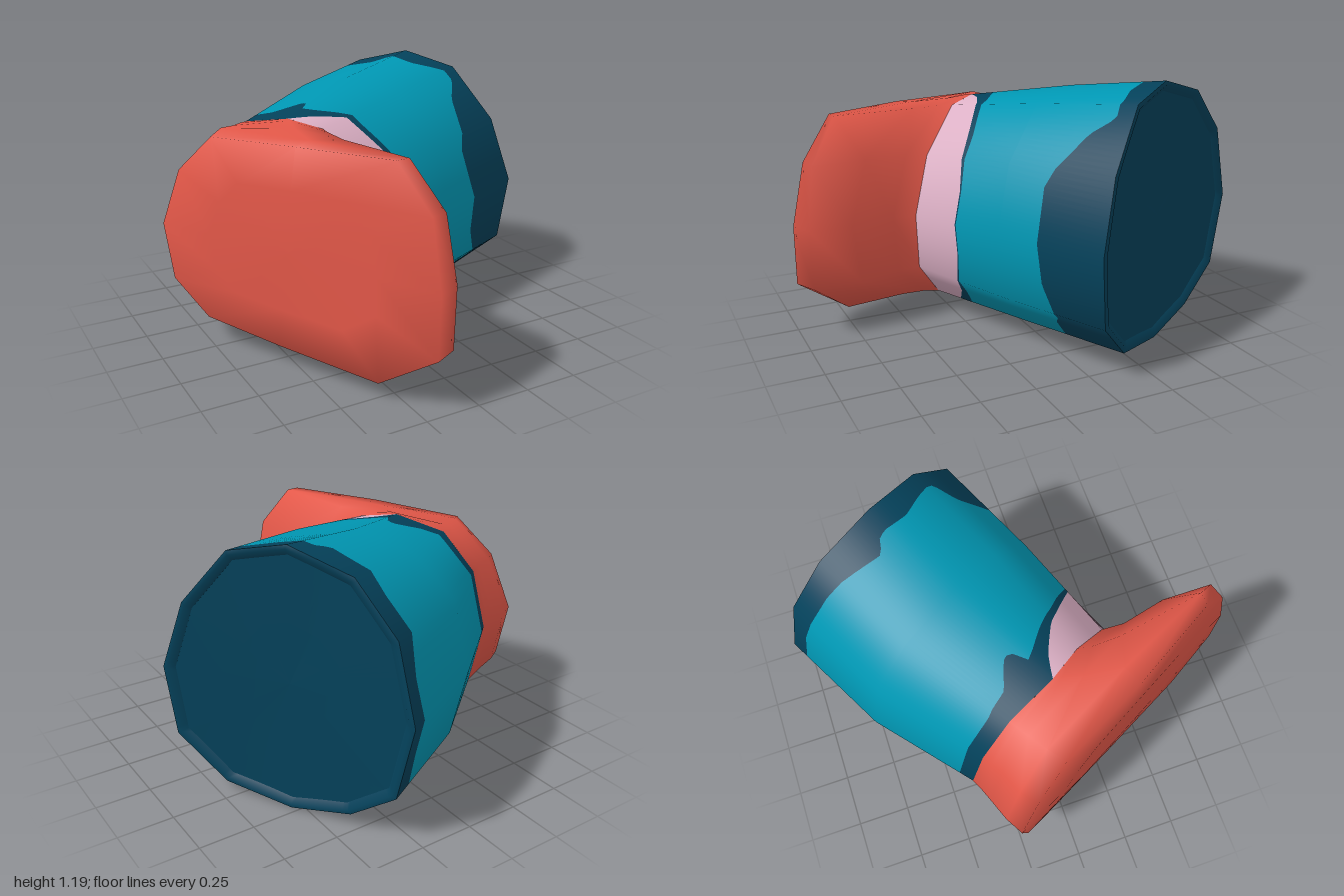
import * as THREE from 'three';

// Local frame: x runs along the barrel (front plate at -x, closed end at +x).
// Each outline is twelve [z, y] points: top, round by +z, bottom, back by -z.
const WAIST = [[-.15, 1.04], [.03, 1.01], [.24, .8], [.338, .53], [.32, .27], [.18, .1],
  [-.1, .068], [-.38, .11], [-.57, .25], [-.63, .55], [-.56, .82], [-.4, .99]];
const MIDDLE = [[-.2, 1.125], [.09, 1.08], [.3, .85], [.385, .55], [.355, .25], [.17, .07],
  [-.15, .03], [-.46, .08], [-.67, .25], [-.736, .56], [-.66, .88], [-.46, 1.06]];
const END = [[-.15, 1.2], [.12, 1.135], [.335, .88], [.439, .57], [.395, .25], [.17, .05],
  [-.15, 0], [-.44, .07], [-.655, .23], [-.73, .57], [-.645, .91], [-.45, 1.12]];
const FLARE = [[-.05, 1.02], [.2, 1.005], [.53, .82], [.629, .53], [.587, .25], [.32, .1],
  [-.06, .085], [-.39, .115], [-.585, .265], [-.64, .545], [-.55, .815], [-.39, .99]];
const RIM = [[.1, 1.012], [.585, 1.015], [.74, .82], [.791, .53], [.785, .25], [.57, .09],
  [0, .098], [-.41, .125], [-.61, .28], [-.655, .54], [-.56, .81], [-.38, 1]];
const FACE = [[.1, 1.005], [.56, 1.015], [.725, .82], [.782, .53], [.78, .25], [.51, .075],
  [0, .1], [-.41, .13], [-.605, .28], [-.653, .54], [-.545, .81], [-.36, .982]];

const X_WAIST = -.32, X_MIDDLE = .2, X_END = .73;
const RIM_X = [-.54, -.565, -.55, -.54, -.54, -.55, -.54, -.545, -.55, -.55, -.545, -.53];
const FACE_X = [-.635, -.622, -.63, -.655, -.658, -.66, -.65, -.64, -.643, -.644, -.635, -.622];
const STEPS = 144;

// Colour borders along the barrel: [place round the outline (0..12), x]
const RED_EDGE = [[0, -.352], [1, -.335], [2, -.32], [3, -.312], [5, -.32], [6, -.34],
  [9, -.32], [11, -.335]];
const PINK_EDGE = [[0, -.352], [.4, -.265], [.95, -.18], [1.5, -.13], [2, -.088], [2.5, -.063],
  [3.5, -.055], [4, -.068], [4.5, -.11], [5, -.18], [5.5, -.27], [6, -.34], [9, -.32], [11, -.335]];
const NECK_EDGE = [[0, -.225], [.25, -.205], [.7, -.16], [1.2, -.125], [1.6, -.09], [2, -.07],
  [2.5, -.055], [3.5, -.05], [4, -.058], [4.5, -.075], [5, -.11], [5.5, -.19], [6, -.21],
  [6.5, -.15], [7, -.2], [7.5, -.24], [9, -.25], [10.8, -.255], [11.35, -.235], [11.6, -.18],
  [11.8, -.14], [11.92, -.16]];
const BAND_EDGE = [[0, .59], [.4, .585], [.8, .62], [1.2, .64], [1.45, .54], [2, .446],
  [2.25, .407], [3, .42], [3.6, .433], [4, .49], [4.15, .49], [4.4, .45], [5, .42], [5.3, .32],
  [5.6, .25], [6, .22], [6.3, .32], [6.5, .54], [7.5, .6], [8.5, .66], [9, .67], [9.5, .67],
  [10, .63], [10.6, .614], [11.25, .568], [11.7, .532], [11.85, .59]];
// The closed end dips at top and bottom
const endX = z => .704 + .055 * ((z + .148) / .585) ** 2;
const END_EDGE = END.map(([z], i) => [i, endX(z)]);

const lerp = THREE.MathUtils.lerp;

// Read a border at place k
function border(list, k) {
  const loop = [...list, [list[0][0] + 12, list[0][1]]];
  const i = Math.max(1, loop.findIndex(p => p[0] >= k));
  const [a, b] = [loop[i - 1], loop[i]];
  return lerp(a[1], b[1], (k - a[0]) / (b[0] - a[0]));
}

// Read a closed outline at place k
function around(outline, k) {
  const f = (k + 12) % 12, i = Math.floor(f);
  return outline[i].map((v, c) => lerp(v, outline[(i + 1) % 12][c], f - i));
}

const mix = (a, b, t) => a.map((p, i) => [lerp(p[0], b[i][0], t), lerp(p[1], b[i][1], t)]);
const shrink = (o, s, cz, cy) => o.map(([z, y]) => [cz + (z - cz) * s, cy + (y - cy) * s]);

// Point on the barrel skin
function skin(x, k) {
  const front = x < X_MIDDLE;
  const t = front ? (x - X_WAIST) / (X_MIDDLE - X_WAIST) : (x - X_MIDDLE) / (X_END - X_MIDDLE);
  const a = around(front ? WAIST : MIDDLE, k), b = around(front ? MIDDLE : END, k);
  return new THREE.Vector3(x, lerp(a[1], b[1], t), lerp(a[0], b[0], t));
}

function skinNormal(x, k) {
  const round = skin(x, k + 1).sub(skin(x, k - 1));
  const along = skin(x + .12, k).sub(skin(x - .12, k));
  return round.cross(along).normalize();
}

// Join closed rows of points into a skin
function loft(rows, normals) {
  const n = rows[0].length, index = [];
  for (let r = 0; r < rows.length - 1; r++) {
    for (let j = 0; j < n; j++) {
      const a = r * n + j, b = r * n + (j + 1) % n;
      index.push(a, b, b + n, a, b + n, a + n);
    }
  }
  const g = new THREE.BufferGeometry();
  const flat = list => new THREE.Float32BufferAttribute(list.flat().flatMap(p => p.toArray()), 3);
  g.setAttribute('position', flat(rows));
  g.setIndex(index);
  if (normals) g.setAttribute('normal', flat(normals));
  else g.computeVertexNormals();
  return g;
}

const places = Array.from({ length: STEPS }, (_, j) => j * 12 / STEPS);
const skinRow = (edge, make = skin) => places.map(k => make(border(edge, k), k));

// Part of the barrel between consecutive borders
const strip = (...edges) =>
  loft(edges.map(e => skinRow(e)), edges.map(e => skinRow(e, skinNormal)));

// Twelve-point ring at one x, or at one x for each point
const ring = (x, outline) => outline.map(([z, y], i) =>
  new THREE.Vector3(Array.isArray(x) ? x[i] : x, y, z));

// Ring across the closed end, following its dip
const endRing = (s, sink) => places.map(k => {
  const [z, y] = around(shrink(END, s, -.148, .595), k);
  return new THREE.Vector3(endX(z) - sink, y, z);
});

export function createModel() {
  const paint = (name, color) => {
    const m = new THREE.MeshStandardMaterial({ color });
    m.name = name;
    return m;
  };
  const red = paint('coral red', 0xe25748);
  const pink = paint('pale pink', 0xdcb0c5);
  const teal = paint('teal', 0x0096b2);
  const navy = paint('dark blue', 0x04415a);

  const model = new THREE.Group();
  model.name = 'model';
  const body = new THREE.Group();
  body.name = 'body';
  body.rotation.y = .5;
  model.add(body);
  const add = (name, geometry, material) => {
    const mesh = new THREE.Mesh(geometry, material);
    mesh.name = name;
    body.add(mesh);
  };

  // Barrel colours from the neck to the closed end
  add('neckPatch', strip(RED_EDGE, PINK_EDGE), pink);
  add('neckBand', strip(PINK_EDGE, NECK_EDGE), navy);
  add('barrel', strip(NECK_EDGE, [[0, X_MIDDLE]], BAND_EDGE), teal);
  add('endBand', strip(BAND_EDGE, END_EDGE), navy);

  // Closed end: narrow bevelled rim and a panel set just inside it
  add('endRim', loft([skinRow(END_EDGE), endRing(.965, -.006), endRing(.92, .012)]), navy);
  add('endPanel', loft([endRing(.92, .012), endRing(.45, .012), endRing(0, .012)]), navy);

  // Front plate, flaring out to one side
  const face = s => shrink(FACE, s, .07, .55);
  add('frontPlate', loft([
    ring(-.66, face(0)),
    ring(-.658, face(.6)),
    ring(FACE_X, FACE),
    ring(RIM_X, RIM),
    ring(-.434, FLARE),
    ring(-.375, mix(WAIST, FLARE, .3)),
    WAIST.map((_, k) => skin(border(RED_EDGE, k), k)),
  ]), red);

  return model;
}
